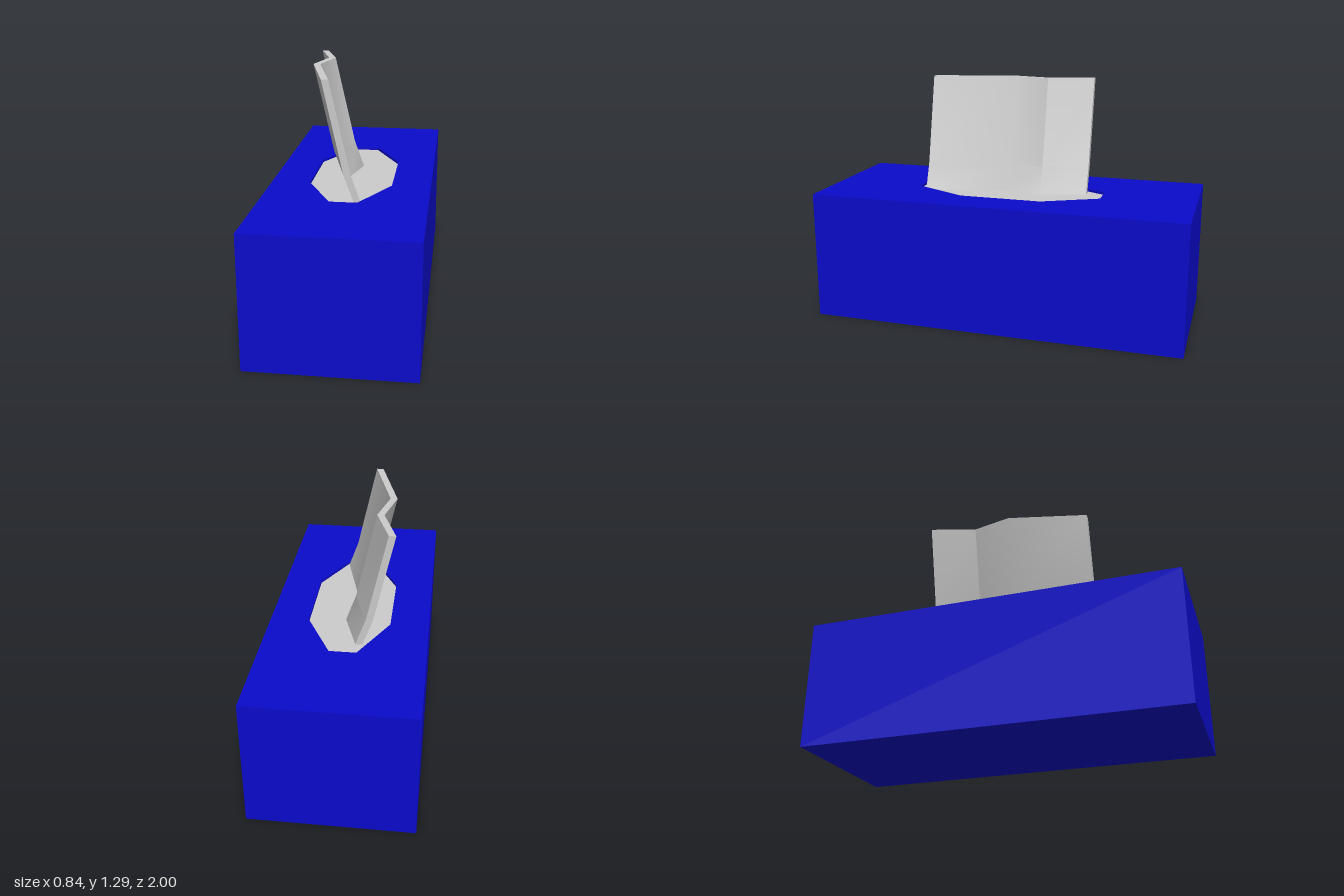
import * as THREE from 'three';
import { toCreasedNormals } from 'three/addons/utils/BufferGeometryUtils.js';

const WIDTH = 0.84, HEIGHT = 0.69, LENGTH = 2, RECESS = 0.015;

// Octagonal opening outline as [x, z]
const OPENING = [
  [0.07, 0.52], [0.217, 0.23], [0.217, -0.21], [0.07, -0.5],
  [-0.07, -0.5], [-0.217, -0.21], [-0.217, 0.23], [-0.07, 0.52],
];

const toShapePoints = (pts) => pts.map(([x, z]) => new THREE.Vector2(x, -z));

function addMesh(group, name, geometry, material) {
  const mesh = new THREE.Mesh(geometry, material);
  mesh.name = name;
  group.add(mesh);
}

// Box sides and bottom: a box without its top face
function boxShell() {
  const geo = new THREE.BoxGeometry(WIDTH, HEIGHT, LENGTH).translate(0, HEIGHT / 2, 0);
  const index = Array.from(geo.index.array);
  index.splice(12, 6);
  geo.setIndex(index);
  geo.clearGroups();
  return geo;
}

// Top panel with the octagonal hole
function topPanel() {
  const w = WIDTH / 2, l = LENGTH / 2;
  const shape = new THREE.Shape(toShapePoints([[-w, l], [w, l], [w, -l], [-w, -l]]));
  shape.holes.push(new THREE.Path(toShapePoints(OPENING)));
  return new THREE.ShapeGeometry(shape).rotateX(-Math.PI / 2).translate(0, HEIGHT, 0);
}

// Short wall running round the hole
function openingWall() {
  const geo = new THREE.CylinderGeometry(1, 1, RECESS, 8, 1, true);
  const pos = geo.attributes.position;
  for (let i = 0; i < pos.count; i++) {
    const [x, z] = OPENING[(i % 9) % 8];
    pos.setXYZ(i, x, pos.getY(i) + HEIGHT - RECESS / 2, z);
  }
  return geo;
}

// Folded sheet: a thin slab zigzagging along z and leaning to -x as it rises
function tissueSheet() {
  const thickness = 0.036;
  const folds = [[-0.40, -0.073], [-0.16, 0.004], [0.055, -0.046], [0.48, 0.064]]; // z, x
  const rows = [[0.67, 0.004], [0.82, -0.05], [1.29, -0.156]]; // y, x shift
  const geo = new THREE.BoxGeometry(1, 2, 3, 1, 2, 3);
  const pos = geo.attributes.position;
  for (let i = 0; i < pos.count; i++) {
    const [z, x] = folds[Math.round(pos.getZ(i) + 1.5)];
    const [y, shift] = rows[Math.round(pos.getY(i) + 1)];
    pos.setXYZ(i, x + shift + pos.getX(i) * thickness, y, z);
  }
  return toCreasedNormals(geo, THREE.MathUtils.degToRad(30));
}

export function createModel() {
  const model = new THREE.Group();
  model.name = 'tissueBox';

  const blue = new THREE.MeshStandardMaterial({ color: 0x0b0bcc });
  const blueWall = new THREE.MeshStandardMaterial({
    color: 0x0b0bcc, flatShading: true, side: THREE.DoubleSide,
  });
  const grey = new THREE.MeshStandardMaterial({ color: 0xcccccc });

  addMesh(model, 'boxSides', boxShell(), blue);
  addMesh(model, 'boxTop', topPanel(), blue);
  addMesh(model, 'openingWall', openingWall(), blueWall);

  // Recessed floor of the opening
  const floor = new THREE.ShapeGeometry(new THREE.Shape(toShapePoints(OPENING)))
    .rotateX(-Math.PI / 2).translate(0, HEIGHT - RECESS, 0);
  addMesh(model, 'openingFloor', floor, grey);

  addMesh(model, 'tissue', tissueSheet(), grey);
  return model;
}
